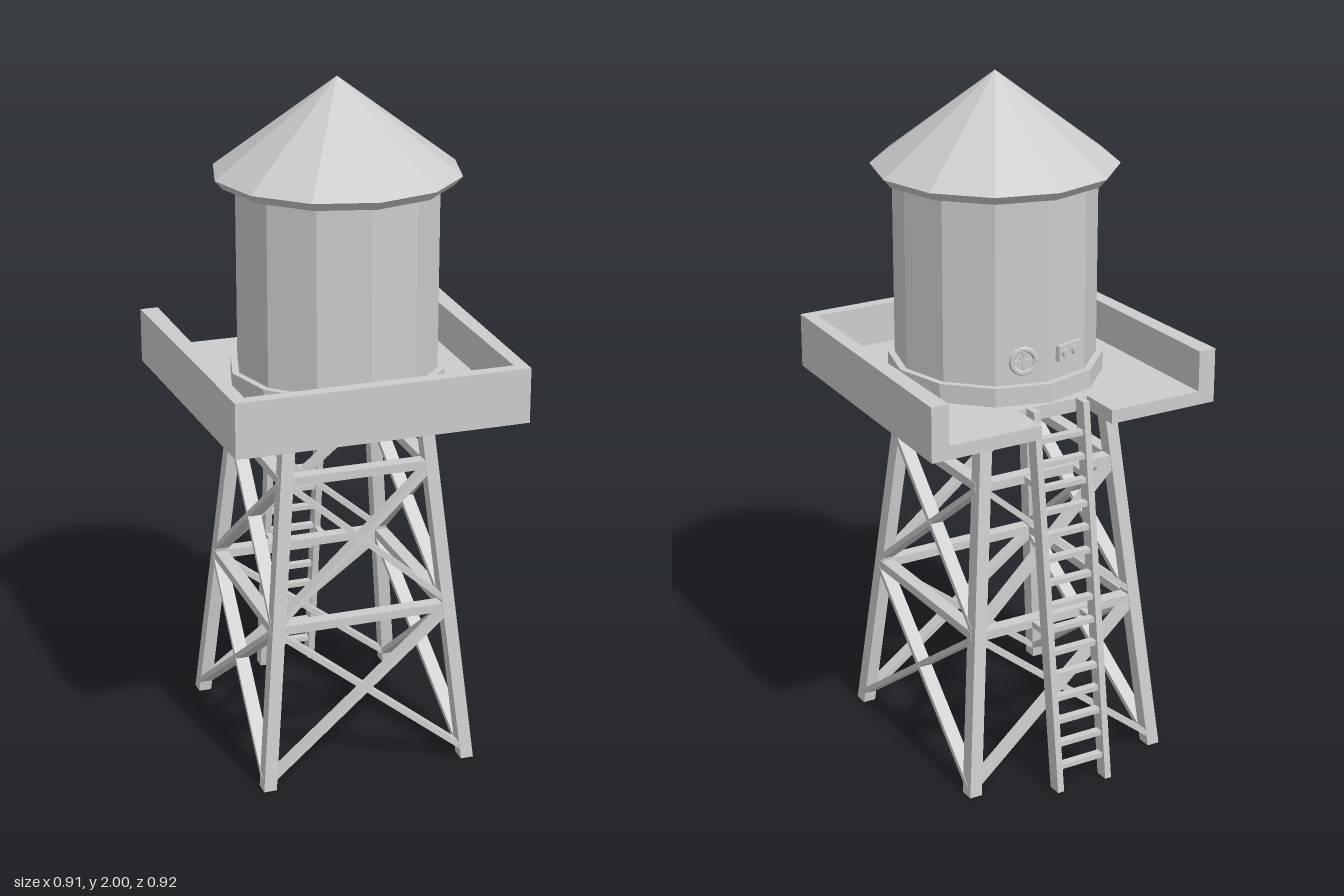
import * as THREE from 'three';

const steel = new THREE.MeshStandardMaterial({ color: 0xcccccc, flatShading: true });
steel.name = 'plain grey';

function add(parent, name, geometry, x = 0, y = 0, z = 0) {
  const mesh = new THREE.Mesh(geometry, steel);
  mesh.name = name;
  mesh.position.set(x, y, z);
  parent.add(mesh);
  return mesh;
}

// Box from a to b; "depth" is measured along the normal, "width" across it
function beam(parent, name, a, b, width, depth, normal) {
  const dir = b.clone().sub(a);
  const mesh = add(parent, name, new THREE.BoxGeometry(width, dir.length(), depth));
  const yAxis = dir.normalize();
  const xAxis = new THREE.Vector3().crossVectors(yAxis, normal).normalize();
  const zAxis = new THREE.Vector3().crossVectors(xAxis, yAxis);
  mesh.quaternion.setFromRotationMatrix(new THREE.Matrix4().makeBasis(xAxis, yAxis, zAxis));
  mesh.position.copy(a).add(b).multiplyScalar(0.5);
  return mesh;
}

// Post with level ends, sheared from its foot to its head
function post(parent, name, foot, head, w, d) {
  const g = new THREE.BoxGeometry(w, 1, d);
  const p = g.attributes.position;
  for (let i = 0; i < p.count; i++) {
    const c = foot.clone().lerp(head, p.getY(i) + 0.5);
    p.setXYZ(i, p.getX(i) + c.x, c.y, p.getZ(i) + c.z);
  }
  return add(parent, name, g);
}

// Horizontal slab from an outline of [x, z] points
function slab(parent, name, outline, bottom, top) {
  const shape = new THREE.Shape(outline.map(([x, z]) => new THREE.Vector2(x, z)));
  const g = new THREE.ExtrudeGeometry(shape, { depth: top - bottom, bevelEnabled: false });
  g.rotateX(Math.PI / 2);
  return add(parent, name, g, 0, top, 0);
}

const DECK = 1.08, FLOOR = 1.12, TANK_Z = 0.057;

// Centre of a leg at height y, in the quarter given by the signs
function legAt(sx, sz, y) {
  const t = y / DECK;
  return new THREE.Vector3(sx * (0.304 - 0.104 * t), y, sz * (0.333 - 0.113 * t));
}

function buildFrame() {
  const frame = new THREE.Group();
  frame.name = 'supportFrame';
  const corners = [[1, 1], [1, -1], [-1, -1], [-1, 1]];
  corners.forEach(([sx, sz], i) => {
    post(frame, 'leg', legAt(sx, sz, 0), legAt(sx, sz, DECK + 0.01), 0.038, 0.044);

    // Braces on the side between this leg and the next
    const [nx, nz] = corners[(i + 1) % 4];
    const normal = new THREE.Vector3(sx + nx, 0, sz + nz).normalize();
    for (const y of [0.475, 0.907]) {
      beam(frame, 'crossbar', legAt(sx, sz, y), legAt(nx, nz, y), 0.026, 0.04, normal);
    }
    for (const [low, high] of [[0.025, 0.465], [0.49, 0.9]]) {
      beam(frame, 'diagonalBrace', legAt(sx, sz, low), legAt(nx, nz, high), 0.016, 0.04, normal);
      beam(frame, 'diagonalBrace', legAt(sx, sz, high), legAt(nx, nz, low), 0.016, 0.04, normal);
    }
  });
  return frame;
}

function buildPlatform() {
  const platform = new THREE.Group();
  platform.name = 'platform';
  // Floor with a ladder notch at the back
  slab(platform, 'floor', [
    [-0.425, 0.46], [0.425, 0.46], [0.455, -0.392], [0.113, -0.392],
    [0.113, -0.262], [-0.113, -0.262], [-0.113, -0.392], [-0.455, -0.392],
  ], DECK, FLOOR);
  // Parapet on three sides
  slab(platform, 'parapet', [
    [-0.425, 0.46], [0.425, 0.46], [0.455, -0.392], [0.402, -0.392],
    [0.388, 0.422], [-0.388, 0.422], [-0.402, -0.392], [-0.455, -0.392],
  ], FLOOR, 1.24);
  return platform;
}

function buildTank() {
  const tank = new THREE.Group();
  tank.name = 'tank';
  tank.position.z = TANK_Z;
  add(tank, 'tankBase', new THREE.CylinderGeometry(0.31, 0.31, 0.055, 12), 0, FLOOR + 0.0275, 0);
  add(tank, 'tankWall', new THREE.CylinderGeometry(0.29, 0.29, 0.6, 12), 0, 1.42, 0);
  add(tank, 'roofRim', new THREE.CylinderGeometry(0.352, 0.33, 0.025, 12), 0, 1.7225, 0);
  add(tank, 'roof', new THREE.ConeGeometry(0.352, 0.265, 12, 1, true), 0, 1.8675, 0);

  // Fittings on the two back facets, with local +z pointing outwards
  const facet = (name, angle) => {
    const group = new THREE.Group();
    group.name = name;
    const r = 0.29 * Math.cos(Math.PI / 12);
    group.position.set(Math.sin(angle) * r, 1.25, Math.cos(angle) * r);
    group.rotation.y = angle;
    tank.add(group);
    return group;
  };
  const valve = facet('valve', Math.PI - Math.PI / 12);
  add(valve, 'valveWheel', new THREE.TorusGeometry(0.035, 0.008, 6, 14), 0, 0, 0.02);
  add(valve, 'valveStem', new THREE.CylinderGeometry(0.008, 0.008, 0.03, 8).rotateX(Math.PI / 2), 0, 0, 0.012);
  add(valve, 'valveSpoke', new THREE.BoxGeometry(0.07, 0.008, 0.008), 0, 0, 0.02);
  add(valve, 'valveSpoke', new THREE.BoxGeometry(0.008, 0.07, 0.008), 0, 0, 0.02);

  const panel = facet('gaugePanel', Math.PI + Math.PI / 12);
  add(panel, 'panelBox', new THREE.BoxGeometry(0.085, 0.045, 0.016), 0, 0, 0.006);
  for (const s of [-1, 1]) {
    add(panel, 'gauge', new THREE.CylinderGeometry(0.013, 0.013, 0.01, 10).rotateX(Math.PI / 2), s * 0.019, 0, 0.017);
  }
  return tank;
}

function buildLadder() {
  const ladder = new THREE.Group();
  ladder.name = 'ladder';
  const railZ = (y) => -0.435 + 0.129 * y;
  const back = new THREE.Vector3(0, 0, -1);
  for (const s of [-1, 1]) {
    const top = 1.125;
    post(ladder, 'rail', new THREE.Vector3(s * 0.08, 0, railZ(0)),
      new THREE.Vector3(s * 0.08, top, railZ(top)), 0.02, 0.042);
    // Struts tying the rails to the crossbars
    for (const y of [0.475, 0.907]) {
      const z = legAt(1, -1, y).z;
      add(ladder, 'strut', new THREE.BoxGeometry(0.018, 0.018, z - railZ(y)), s * 0.08, y, (z + railZ(y)) / 2);
    }
  }
  for (let i = 0; i < 15; i++) {
    const y = 0.07 + i * 0.0689;
    beam(ladder, 'rung', new THREE.Vector3(-0.075, y, railZ(y)),
      new THREE.Vector3(0.075, y, railZ(y)), 0.015, 0.024, back);
  }
  return ladder;
}

export function createModel() {
  const model = new THREE.Group();
  model.name = 'waterTower';
  model.add(buildFrame(), buildPlatform(), buildTank(), buildLadder());
  return model;
}
